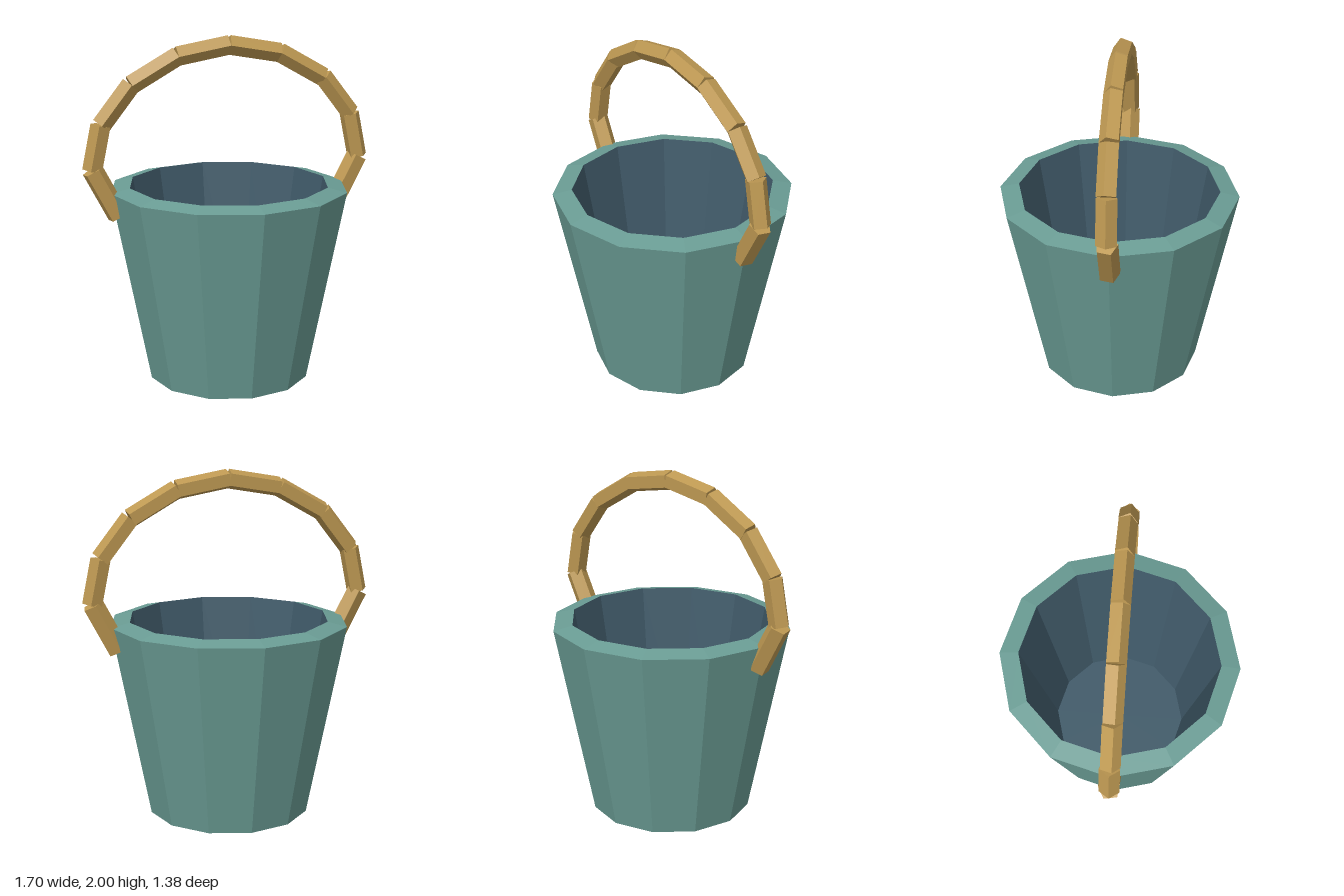
import * as THREE from 'three';

const teal = new THREE.MeshStandardMaterial({ name: 'teal paint', color: 0x6a9c94, flatShading: true });
const navy = new THREE.MeshStandardMaterial({ name: 'dark blue lining', color: 0x405a69, flatShading: true });
const gold = new THREE.MeshStandardMaterial({ name: 'golden wood', color: 0xbd9852, flatShading: true });

const SIDES = 12;

// Twelve-sided ring surface from [radius, height] pairs
function lathe(name, profile, material) {
  const points = profile.map(([r, y]) => new THREE.Vector2(r, y));
  const mesh = new THREE.Mesh(new THREE.LatheGeometry(points, SIDES), material);
  mesh.name = name;
  return mesh;
}

// Five-sided straight bar between two points, rolled about its own axis
function bar(name, from, to, radius, roll) {
  const axis = to.clone().sub(from);
  const geometry = new THREE.CylinderGeometry(radius, radius, axis.length(), 5, 1, false, roll);
  const mesh = new THREE.Mesh(geometry, gold);
  mesh.name = name;
  mesh.position.copy(from).add(to).multiplyScalar(0.5);
  mesh.rotation.z = Math.atan2(-axis.x, axis.y);
  return mesh;
}

export function createModel() {
  const model = new THREE.Group();
  model.name = 'bucket';

  // Bucket shell: base, tapered wall with sloping rim, and lining
  model.add(lathe('base', [[0, 0], [0.47, 0]], navy));
  model.add(lathe('outerWall', [[0.47, 0], [0.69, 1.125]], teal));
  model.add(lathe('rim', [[0.69, 1.125], [0.58, 1.15]], teal));
  model.add(lathe('innerWall', [[0.58, 1.15], [0.4, 0.12]], navy));
  model.add(lathe('floor', [[0.4, 0.12], [0, 0.12]], navy));

  // Handle: ten separate bars along a mirrored arch, from +x over to -x
  const handle = new THREE.Group();
  handle.name = 'handle';
  const half = [[0.65, 0.995], [0.79, 1.265], [0.737, 1.52], [0.565, 1.74], [0.3, 1.89]];
  const mirrored = half.map(([x, y]) => [-x, y]).reverse();
  const path = [...half, [0, 1.943], ...mirrored].map(([x, y]) => new THREE.Vector3(x, y, 0));
  const rolls = [44, 18, 5, 0, 0];
  const radii = [0.063, 0.059, 0.058, 0.058, 0.058];
  for (let i = 0; i < path.length - 1; i++) {
    const k = Math.min(i, path.length - 2 - i);
    handle.add(bar('handleSegment', path[i], path[i + 1], radii[k], THREE.MathUtils.degToRad(rolls[k])));
  }
  model.add(handle);

  return model;
}
